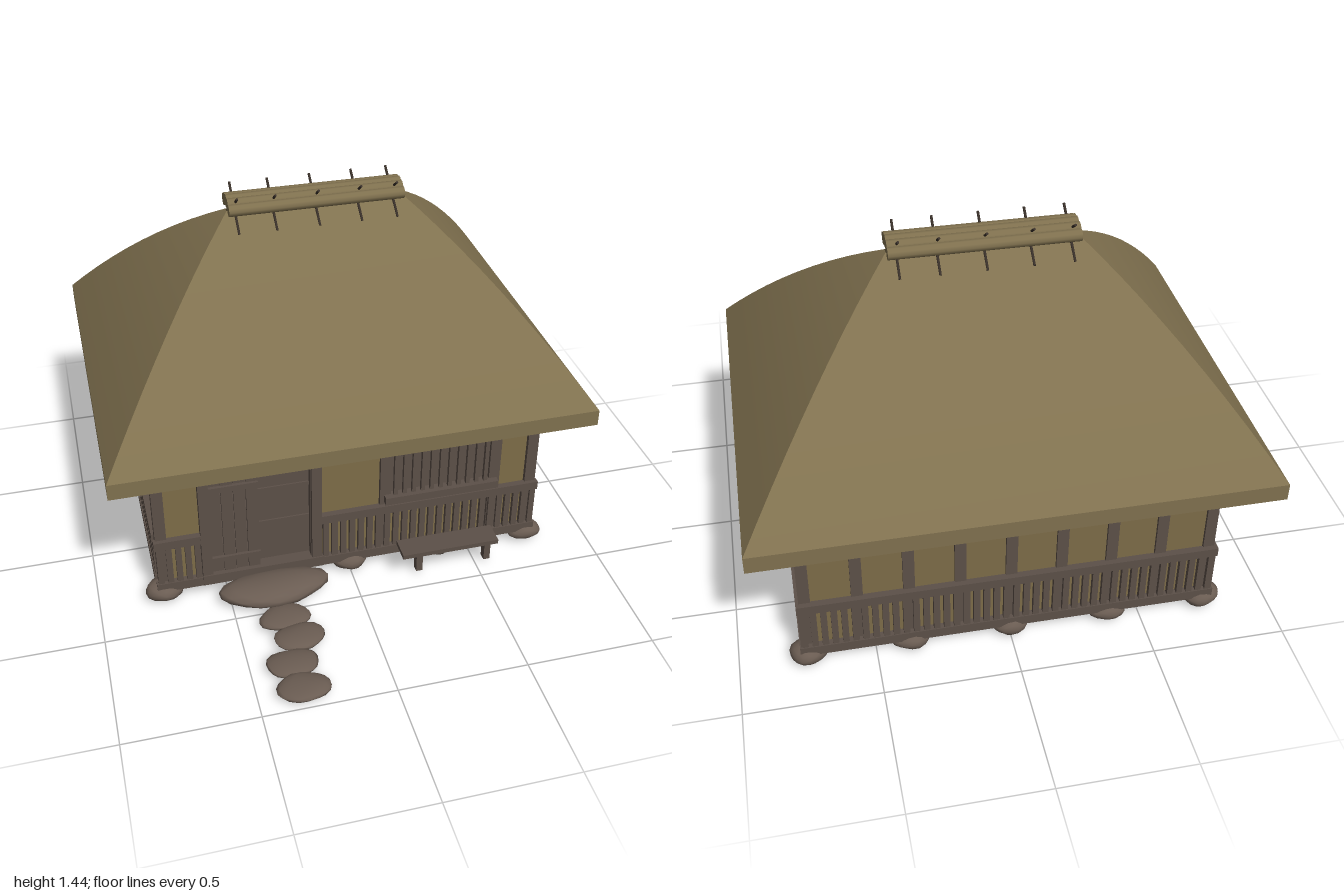
import * as THREE from 'three';
import { mergeVertices } from 'three/addons/utils/BufferGeometryUtils.js';

const material = (name, color, extra = {}) => {
  const m = new THREE.MeshStandardMaterial({ color, ...extra });
  m.name = name;
  return m;
};

export function createModel() {
  const thatch = material('thatch', 0x80714f, { side: THREE.DoubleSide });
  const clay = material('clay wall', 0x7d6c48);
  const wood = material('weathered wood', 0x5c5048);
  const darkWood = material('dark wood', 0x3a312a);
  const stone = material('stone', 0x6a5c52);

  const model = new THREE.Group();
  model.name = 'thatchedCottage';
  const CZ = -0.2475; // centre of the house in z

  const add = (name, geometry, mat, parent = model) => {
    const mesh = new THREE.Mesh(geometry, mat);
    mesh.name = name;
    parent.add(mesh);
    return mesh;
  };
  const group = (name) => {
    const g = new THREE.Group();
    g.name = name;
    model.add(g);
    return g;
  };
  // Box given by its limits on each axis
  const box = (name, mat, [x0, x1], [y0, y1], [z0, z1], parent) => {
    const mesh = add(name, new THREE.BoxGeometry(x1 - x0, y1 - y0, z1 - z0), mat, parent);
    mesh.position.set((x0 + x1) / 2, (y0 + y1) / 2, (z0 + z1) / 2);
    return mesh;
  };
  // Bar running between two points
  const bar = (name, mat, a, b, radius, parent, sides = 6) => {
    const p = new THREE.Vector3(...a), q = new THREE.Vector3(...b);
    const mesh = add(name, new THREE.CylinderGeometry(radius, radius, p.distanceTo(q), sides), mat, parent);
    mesh.position.copy(p).add(q).multiplyScalar(0.5);
    mesh.quaternion.setFromUnitVectors(new THREE.Vector3(0, 1, 0), q.sub(p).normalize());
    return mesh;
  };

  // Hipped roof: four sides swept through rows of [inward fraction, height]
  const roof = group('roof');
  const corners = [[1, 1], [1, -1], [-1, -1], [-1, 1]];
  const hipStrip = (name, rows) => corners.forEach((a, i) => {
    const b = corners[(i + 1) % 4];
    const points = [], index = [];
    rows.forEach(([t, y], r) => {
      const hx = 0.925 - 0.585 * t, hz = 0.737 - 0.725 * t;
      for (const [sx, sz] of [a, b]) points.push(sx * hx, y, CZ + sz * hz);
      const k = r * 2;
      if (r < rows.length - 1) index.push(k, k + 1, k + 3, k, k + 3, k + 2);
    });
    const g = new THREE.BufferGeometry();
    g.setAttribute('position', new THREE.Float32BufferAttribute(points, 3));
    g.setIndex(index);
    g.computeVertexNormals();
    add(name, g, thatch, roof);
  });
  const curve = (base) => Array.from({ length: 11 }, (_, i) => {
    const t = i / 10;
    return [t, base + 0.64 * (t + 0.28 * t * (1 - t))];
  });
  hipStrip('thatchSlope', curve(0.73));
  hipStrip('thatchEdge', [[0, 0.665], [0, 0.73]]);
  hipStrip('thatchUnderside', curve(0.665));

  // Rafters below the eaves
  const rafters = group('rafters');
  for (const s of [-1, 1]) {
    for (let i = 0; i < 24; i++) {
      const x = -0.805 + i * 0.07;
      bar('rafter', darkWood, [x, 0.68, CZ + s * 0.695], [x, 0.83, CZ + s * 0.55], 0.011, rafters, 4);
    }
    for (let i = 0; i < 18; i++) {
      const z = CZ - 0.595 + i * 0.07;
      bar('rafter', darkWood, [s * 0.89, 0.685, z], [s * 0.76, 0.84, z], 0.011, rafters, 4);
    }
  }

  // Ridge roll and its crossed sticks
  const ridge = group('ridge');
  for (const [dz, y, r] of [[-0.055, 1.39, 0.023], [-0.028, 1.403, 0.024], [0, 1.407, 0.025], [0.028, 1.403, 0.024], [0.055, 1.39, 0.023]])
    bar('ridgeBundle', thatch, [-0.34, y, CZ + dz], [0.34, y, CZ + dz], r, ridge, 10);
  for (const x of [-0.31, -0.165, 0, 0.165, 0.305])
    for (const s of [-1, 1])
      bar('ridgeStick', darkWood, [x, 1.31, CZ + s * 0.1], [x, 1.445, CZ - s * 0.08], 0.005, ridge);

  // Floor, clay walls and wall plates
  const walls = group('walls');
  box('floor', wood, [-0.75, 0.75], [0.06, 0.08], [-0.8, 0.32], walls);
  box('backWall', clay, [-0.74, 0.74], [0.08, 0.84], [-0.8, -0.78], walls);
  for (const s of [-1, 1])
    box('sideWall', clay, [s * 0.74 - 0.01, s * 0.74 + 0.01], [0.08, 0.84], [-0.79, 0.31], walls);
  for (const [a, b] of [[-0.74, -0.57], [-0.14, 0.14], [0.59, 0.74]])
    box('frontWall', clay, [a, b], [0.08, 0.84], [0.295, 0.315], walls);
  box('wallAboveDoor', clay, [-0.57, -0.14], [0.6, 0.84], [0.295, 0.315], walls);
  box('wallAboveWindow', clay, [0.14, 0.59], [0.57, 0.84], [0.295, 0.315], walls);
  box('wallBelowWindow', clay, [0.14, 0.59], [0.08, 0.345], [0.295, 0.315], walls);
  for (const z of [0.31, -0.79])
    box('wallPlate', wood, [-0.77, 0.77], [0.69, 0.735], [z - 0.022, z + 0.022], walls);
  for (const x of [-0.745, 0.745])
    box('wallPlate', wood, [x - 0.022, x + 0.022], [0.69, 0.735], [-0.79, 0.31], walls);

  // Posts
  const posts = group('posts');
  const post = (x, z, w = 0.044) =>
    box('post', wood, [x - w / 2, x + w / 2], [0.06, 0.82], [z - w / 2, z + w / 2], posts);
  for (const x of [-0.745, -0.57, -0.14, 0.14, 0.59, 0.745]) post(x, 0.31);
  for (let i = 0; i < 9; i++) post(-0.745 + i * 0.18625, -0.79, 0.042);
  for (const x of [-0.742, 0.742]) for (const z of [-0.05, -0.435]) post(x, z, 0.042);

  // Slatted skirting; `along` picks the axis it runs on
  const skirting = group('skirting');
  const lattice = (along, from, to, at) => {
    const piece = (name, u, v, d) => {
      const depth = [at - d, at + d];
      along === 'x' ? box(name, wood, u, v, depth, skirting) : box(name, wood, depth, v, u, skirting);
    };
    piece('skirtingRail', [from, to], [0.065, 0.105], 0.013);
    piece('skirtingRail', [from, to], [0.275, 0.312], 0.013);
    const n = Math.max(2, Math.round((to - from) / 0.037));
    for (let i = 0; i < n; i++) {
      const c = from + (to - from) * (i + 0.5) / n;
      piece('skirtingSlat', [c - 0.0115, c + 0.0115], [0.08, 0.3], 0.009);
    }
  };
  for (const [a, b] of [[-0.775, -0.59], [-0.12, 0.13], [0.13, 0.6], [0.6, 0.775]]) lattice('x', a, b, 0.335);
  lattice('x', -0.775, 0.775, -0.818);
  for (const s of [-1, 1]) lattice('z', -0.83, 0.29, s * 0.764);

  // Doorway: frame, boarded sliding door and inner panel
  const door = group('door');
  box('doorLintel', wood, [-0.595, -0.115], [0.58, 0.64], [0.325, 0.365], door);
  box('doorSill', wood, [-0.595, -0.115], [0.07, 0.115], [0.3, 0.355], door);
  for (const x of [-0.575, -0.14])
    box('doorJamb', wood, [x - 0.02, x + 0.02], [0.07, 0.6], [0.32, 0.35], door);
  for (let i = 0; i < 4; i++)
    box('doorBoard', wood, [-0.555 + i * 0.048, -0.51 + i * 0.048], [0.1, 0.58], [0.325, 0.335 + (i % 2) * 0.003], door);
  for (const y of [0.18, 0.52])
    box('doorBatten', wood, [-0.555, -0.365], [y - 0.012, y + 0.012], [0.335, 0.348], door);
  box('innerPanel', wood, [-0.38, -0.15], [0.1, 0.53], [0.295, 0.305], door);
  for (const y of [0.3, 0.46])
    box('innerPanelRail', wood, [-0.37, -0.155], [y - 0.008, y + 0.008], [0.305, 0.311], door);

  // Barred window
  const window = group('window');
  box('windowLintel', wood, [0.135, 0.59], [0.572, 0.607], [0.315, 0.358], window);
  box('windowSill', wood, [0.135, 0.6], [0.325, 0.358], [0.315, 0.358], window);
  box('windowShutter', wood, [0.16, 0.57], [0.345, 0.545], [0.292, 0.302], window);
  for (let i = 0; i < 11; i++) {
    const x = 0.18 + i * 0.037;
    box('windowBar', wood, [x - 0.008, x + 0.008], [0.35, 0.58], [0.325, 0.341], window);
  }

  // Bench
  const bench = group('bench');
  box('benchSeat', wood, [0.18, 0.575], [0.128, 0.147], [0.37, 0.465], bench);
  for (const x of [0.26, 0.545]) {
    box('benchLeg', wood, [x - 0.013, x + 0.013], [0.025, 0.13], [0.4, 0.432], bench);
    box('benchBrace', wood, [x - 0.011, x + 0.011], [0.112, 0.128], [0.385, 0.447], bench);
  }

  // Lumpy stones: an icosphere pushed in and out by a smooth rule
  const stones = group('stones');
  const rock = (name, x, y, z, rx, ry, rz, seed) => {
    const raw = new THREE.IcosahedronGeometry(1, 2);
    raw.deleteAttribute('normal');
    raw.deleteAttribute('uv');
    const g = mergeVertices(raw, 1e-3);
    const p = g.attributes.position, v = new THREE.Vector3();
    for (let i = 0; i < p.count; i++) {
      v.fromBufferAttribute(p, i);
      const k = 1 + 0.07 * Math.sin(3.1 * v.x + seed) * Math.cos(2.7 * v.z + 2 * seed) + 0.03 * Math.sin(5 * v.y + 4 * v.x + seed);
      p.setXYZ(i, v.x * k * rx, v.y * k * ry, v.z * k * rz);
    }
    g.computeVertexNormals();
    add(name, g, stone, stones).position.set(x, y, z);
  };
  for (let i = 0; i < 5; i++)
    for (const z of [0.31, -0.79])
      rock('foundationStone', -0.745 + i * 0.3725, 0.05, z, 0.072, 0.042, 0.06, i + z * 4);
  rock('doorStep', -0.33, 0.06, 0.42, 0.215, 0.045, 0.095, 2);
  [[-0.32, 0.565], [-0.29, 0.68], [-0.345, 0.805], [-0.33, 0.927]].forEach(([x, z], i) =>
    rock('steppingStone', x, 0.036, z, 0.1, 0.021, 0.07, i * 1.7 + 1));

  return model;
}
